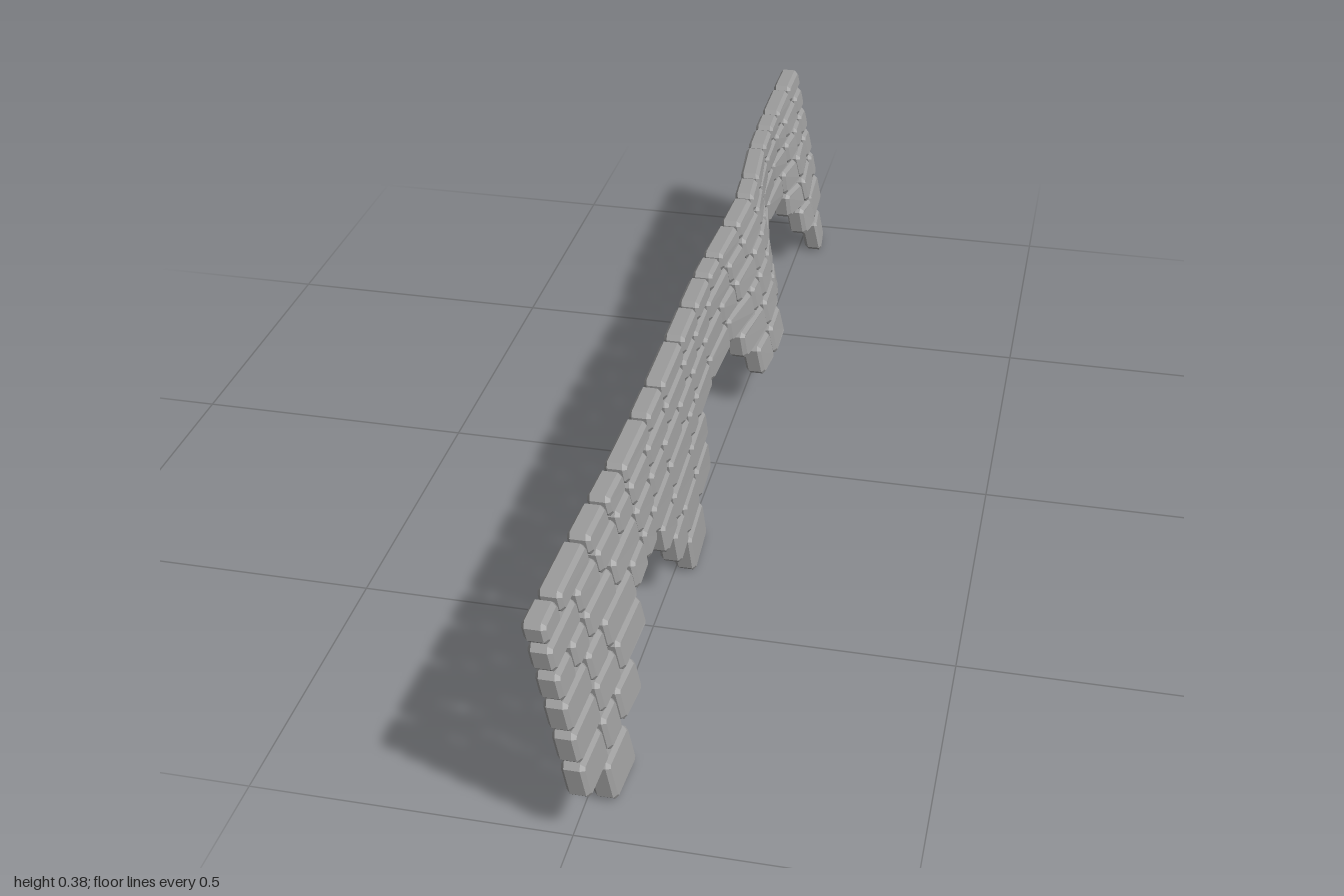
import * as THREE from 'three';

const stone = new THREE.MeshStandardMaterial({ color: 0x9c9c9c });
stone.name = 'grey stone';

// Wall surface along z: [z, x centre at the top, outward lean per unit of drop]
const SURFACE = [
  [-1, -0.045, 0.2], [-0.92, -0.045, 0.2], [-0.85, -0.045, 0.24], [-0.78, -0.045, 0.15],
  [-0.7, -0.045, 0.05], [-0.55, -0.04, 0.05], [-0.45, -0.027, 0.19], [-0.35, -0.02, 0.23],
  [-0.2, -0.025, 0.2], [-0.13, -0.03, 0.12], [0, -0.034, 0.1], [0.3, -0.03, 0.13],
  [0.55, -0.03, 0.17], [0.7, -0.035, 0.22], [0.85, -0.04, 0.2], [1, -0.043, 0.19],
];

// Courses from top to bottom: y range and the joints of each unbroken run of bricks
const COURSES = [
  { y: [0.34, 0.375], runs: [[1, 0.93, 0.79, 0.69, 0.6, 0.45, 0.35, 0.2, 0.08, -0.03, -0.11, -0.24, -0.36, -0.45, -0.59, -0.68, -0.76, -0.89, -1]] },
  { y: [0.294, 0.336], runs: [[1, 0.87, 0.77, 0.67, 0.59, 0.48, 0.35, 0.21, 0.11, 0, -0.15, -0.25, -0.39, -0.5, -0.62, -0.73, -0.81, -0.93, -1]] },
  { y: [0.244, 0.29], runs: [[1, 0.93, 0.86, 0.73, 0.59, 0.49, 0.39, 0.27, 0.16, 0.05, -0.08, -0.17, -0.3, -0.38, -0.46, -0.56, -0.69, -0.79, -0.87, -0.94, -1]] },
  { y: [0.19, 0.241], runs: [[1, 0.89, 0.81, 0.66, 0.58, 0.51, 0.38, 0.22, 0.16, 0.03, -0.11, -0.24, -0.3, -0.39, -0.48, -0.61, -0.75, -0.84, -0.94, -1]] },
  { y: [0.134, 0.187], runs: [[1, 0.89, 0.79, 0.66], [0.48, 0.39, 0.24, 0.11], [-0.16, -0.29, -0.4, -0.47], [-0.76, -0.84, -0.96, -1]] },
  { y: [0.072, 0.131], runs: [[1, 0.9, 0.83, 0.74], [0.42, 0.34, 0.23, 0.12], [-0.21, -0.29, -0.39], [-0.81, -0.88, -1]] },
  { y: [0, 0.068], runs: [[0.92, 0.82], [0.34, 0.22], [-0.88, -0.96]] },
];

const GAP = 0.005, BEVEL = 0.006, THICK = 0.036;

function surfaceX(y, z) {
  let i = 1;
  while (i < SURFACE.length - 1 && z > SURFACE[i][0]) i++;
  const a = SURFACE[i - 1], b = SURFACE[i];
  const t = THREE.MathUtils.clamp((z - a[0]) / (b[0] - a[0]), 0, 1);
  const top = a[1] + (b[1] - a[1]) * t;
  const lean = a[2] + (b[2] - a[2]) * t;
  return top + lean * (0.36 - y);
}

// Chamfered block laid along z, then bent onto the leaning wall surface
function brick(z0, z1, y0, y1) {
  const w = (z1 - z0) / 2 - BEVEL, h = (y1 - y0) / 2 - BEVEL, c = 0.004;
  const outline = new THREE.Shape([
    [-w + c, -h], [w - c, -h], [w, -h + c], [w, h - c],
    [w - c, h], [-w + c, h], [-w, h - c], [-w, -h + c],
  ].map(([x, y]) => new THREE.Vector2(x, y)));
  const geo = new THREE.ExtrudeGeometry(outline, {
    depth: THICK - 2 * BEVEL, bevelEnabled: true,
    bevelSize: BEVEL, bevelThickness: BEVEL, bevelSegments: 1,
  });
  geo.translate(0, 0, -THICK / 2 + BEVEL);
  geo.rotateY(Math.PI / 2);
  geo.translate(0, (y0 + y1) / 2, (z0 + z1) / 2);
  const p = geo.attributes.position;
  for (let i = 0; i < p.count; i++) {
    p.setX(i, p.getX(i) + surfaceX(p.getY(i), p.getZ(i)));
  }
  geo.computeVertexNormals();
  const mesh = new THREE.Mesh(geo, stone);
  mesh.name = 'brick';
  return mesh;
}

export function createModel() {
  const wall = new THREE.Group();
  wall.name = 'brickWall';
  COURSES.forEach(({ y, runs }, n) => {
    const course = new THREE.Group();
    course.name = `course${n + 1}`;
    for (const joints of runs) {
      for (let i = 0; i < joints.length - 1; i++) {
        // Outer ends stay flush, inner joints leave a gap
        const z1 = joints[i] - (i > 0 ? GAP : 0);
        const z0 = joints[i + 1] + (i < joints.length - 2 ? GAP : 0);
        course.add(brick(z0, z1, y[0], y[1]));
      }
    }
    wall.add(course);
  });
  return wall;
}
